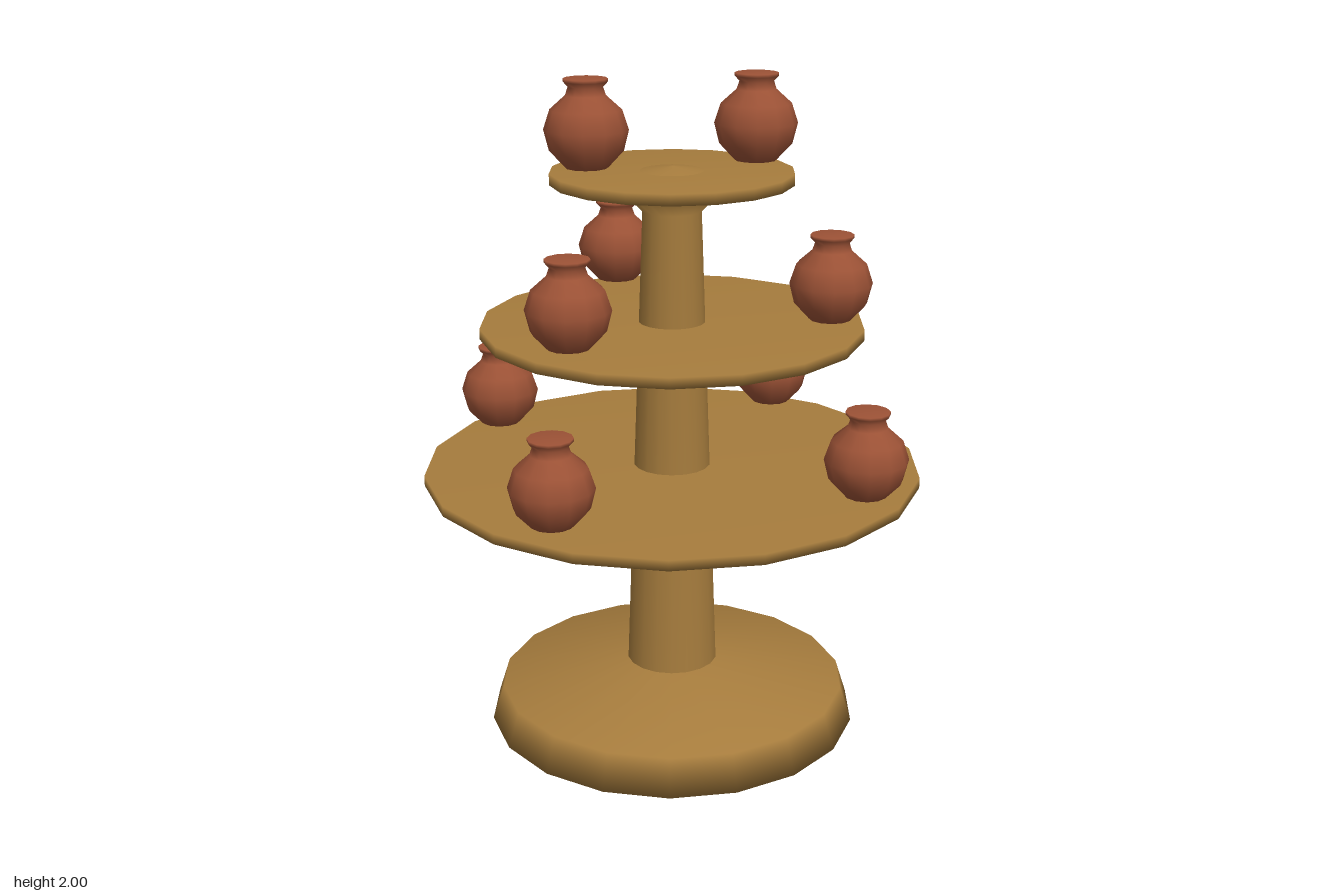
import * as THREE from 'three';

const wood = new THREE.MeshStandardMaterial({ color: 0xa67c3d });
wood.name = 'ochre wood';
const clay = new THREE.MeshStandardMaterial({ color: 0x9c5236 });
clay.name = 'terracotta';

// Surface of revolution from [radius, height] pairs, with a corner on the x axis
function turned(profile, sides) {
  const points = profile.map(([r, y]) => new THREE.Vector2(r, y));
  return new THREE.LatheGeometry(points, sides).rotateY(Math.PI / 2);
}

function addMesh(parent, name, geometry, material) {
  const mesh = new THREE.Mesh(geometry, material);
  mesh.name = name;
  parent.add(mesh);
  return mesh;
}

export function createModel() {
  const model = new THREE.Group();
  model.name = 'potStand';

  // Sloped foot, tapering post and flared head
  addMesh(model, 'foot', turned([
    [0, 0], [0.572, 0], [0.537, 0.11], [0.14, 0.18],
  ], 18), wood);
  addMesh(model, 'post', turned([
    [0.14, 0.18], [0.088, 1.61], [0.165, 1.69], [0.165, 1.71], [0.09, 1.729], [0, 1.742],
  ], 18), wood);

  // Each tier: shelf radius, bottom, top, then pot height and pot places [x, z]
  const tiers = [
    { name: 'lower', r: 0.752, y0: 0.797, y1: 0.828, potY: 0.85,
      pots: [[0.645, 0], [0, 0.645], [-0.645, 0], [0, -0.645]] },
    { name: 'middle', r: 0.572, y0: 1.245, y1: 1.277, potY: 1.3,
      pots: [[0.43, -0.185], [-0.06, 0.46], [-0.375, -0.285]] },
    { name: 'upper', r: 0.358, y0: 1.695, y1: 1.728, potY: 1.748,
      pots: [[0.177, -0.18], [-0.177, 0.18]] },
  ];

  // Round-bellied pot with narrow neck and flared, closed mouth
  const potGeometry = turned([
    [0, 0], [0.062, 0], [0.107, 0.048], [0.122, 0.108], [0.103, 0.165],
    [0.058, 0.205], [0.05, 0.228], [0.064, 0.243], [0.064, 0.252], [0, 0.252],
  ], 12);

  for (const { name, r, y0, y1, potY, pots } of tiers) {
    const tier = new THREE.Group();
    tier.name = name + 'Tier';
    model.add(tier);
    addMesh(tier, name + 'Shelf', turned([[0, y0], [r, y0], [r, y1], [0, y1]], 18), wood);
    for (const [x, z] of pots) {
      addMesh(tier, name + 'Pot', potGeometry, clay).position.set(x, potY, z);
    }
  }
  return model;
}
